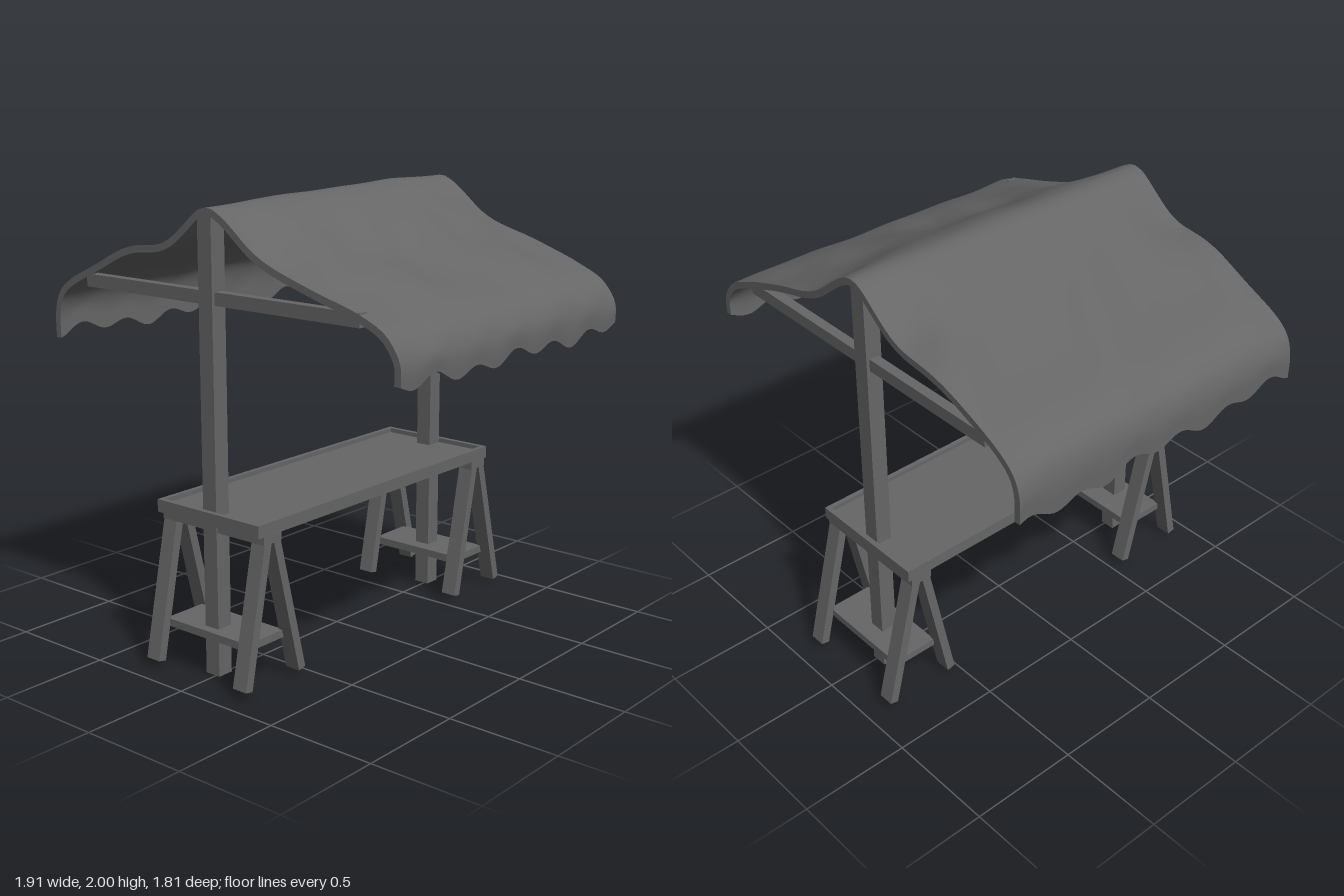
import * as THREE from 'three';
import { toCreasedNormals } from 'three/addons/utils/BufferGeometryUtils.js';

const grey = new THREE.MeshStandardMaterial({ color: 0x666666 });
grey.name = 'weathered grey';

// Box given by its min and max corners
function box(parent, name, x0, x1, y0, y1, z0, z1) {
  const mesh = new THREE.Mesh(new THREE.BoxGeometry(x1 - x0, y1 - y0, z1 - z0), grey);
  mesh.position.set((x0 + x1) / 2, (y0 + y1) / 2, (z0 + z1) / 2);
  mesh.name = name;
  parent.add(mesh);
  return mesh;
}

// Trestle: top beam, four splayed legs and a low shelf
function trestle(name, z, shelfY) {
  const g = new THREE.Group();
  g.name = name;
  box(g, 'trestleBeam', -0.3, 0.28, 0.635, 0.675, z - 0.052, z + 0.052);
  for (const x of [-0.262, 0.243]) {
    for (const s of [-1, 1]) {
      const top = new THREE.Vector2(z + s * 0.022, 0.66);
      const foot = new THREE.Vector2(z + s * 0.163 - 0.012, 0.035);
      const len = top.distanceTo(foot);
      const leg = new THREE.Mesh(new THREE.BoxGeometry(0.073, len, 0.04), grey);
      leg.position.set(x, (top.y + foot.y) / 2, (top.x + foot.x) / 2);
      leg.rotation.x = Math.atan2(top.x - foot.x, top.y - foot.y);
      leg.name = 'trestleLeg';
      g.add(leg);
    }
  }
  box(g, 'trestleShelf', -0.245, 0.225, shelfY, shelfY + 0.034, z - 0.12, z + 0.1);
  return g;
}

const smooth = (t) => t * t * (3 - 2 * t);
const bump = (v, centre, width) => Math.exp(-(((v - centre) / width) ** 2));

// Sagging cloth canopy: a closed cross-section swept along z
function canopyGeometry() {
  const outline = [
    [-0.957, 1.36], [-0.955, 1.47], [-0.925, 1.55], [-0.85, 1.615], [-0.6, 1.72],
    [-0.3, 1.855], [-0.13, 1.945], [-0.06, 1.98], [-0.015, 1.988], [0.035, 1.98], [0.12, 1.945],
    [0.25, 1.87], [0.4, 1.785], [0.58, 1.71], [0.75, 1.645], [0.88, 1.58],
    [0.935, 1.51], [0.953, 1.45], [0.953, 1.37],
  ].map(([x, y]) => new THREE.Vector3(x, y, 0));
  const curve = new THREE.CatmullRomCurve3(outline, false, 'centripetal');
  const nu = 80, nz = 72, thick = 0.03;
  const base = curve.getSpacedPoints(nu);
  const ring = 2 * (nu + 1);
  const pos = [], index = [];

  for (let j = 0; j <= nz; j++) {
    const t = j / nz;
    const zEnd = 0.785 - 1.54 * t;
    const nearEnd = smooth(Math.max(0, 1 - Math.min(t, 1 - t) / 0.22));
    const ridge = -0.012 + 0.022 * smooth(t);
    const section = base.map((p) => {
      const side = p.x < 0 ? -1 : 1, a = Math.abs(p.x);
      // sag beside the posts, folds on the slopes, scalloped hems
      const slope = bump(a, 0.5, 0.32);
      const sag = -0.055 * nearEnd * bump(a, 0.24, 0.16);
      const folds = slope * 0.011 * (Math.sin(zEnd * 9 + side * 1.3 + a * 5)
        + 0.7 * Math.sin(zEnd * 17 - a * 9 * side + 2));
      const hemAmount = smooth(Math.min(1, Math.max(0, (1.56 - p.y) / 0.2)));
      const hem = hemAmount * (0.022 * Math.sin(zEnd * 23 + side * 1.1)
        + 0.012 * Math.sin(zEnd * 9.5 + 2) + 0.012 * side * (0.5 + t));
      return new THREE.Vector2(p.x, p.y + ridge * (1 - hemAmount) + sag + folds + hem);
    });
    const inner = section.map((p, i) => {
      const d = section[Math.min(nu, i + 1)].clone().sub(section[Math.max(0, i - 1)]).normalize();
      return new THREE.Vector2(p.x + d.y * thick, p.y - d.x * thick);
    });
    for (const p of [...section, ...inner.reverse()]) {
      const wander = (t < 0.5 ? 1 : -0.6) * nearEnd * (0.008 * bump(p.x, 0, 0.4) - 0.006 * Math.abs(p.x));
      pos.push(p.x, p.y, zEnd + wander);
    }
  }
  for (let j = 0; j < nz; j++) {
    for (let i = 0; i < ring; i++) {
      const k = (i + 1) % ring;
      const a = j * ring + i, b = j * ring + k, c = a + ring, d = b + ring;
      index.push(a, b, c, b, d, c);
    }
  }
  // cloth thickness at the front and back ends
  const last = nz * ring;
  for (let i = 0; i < nu; i++) {
    const a = i, b = i + 1, c = ring - 1 - i, d = ring - 2 - i;
    index.push(a, c, b, b, c, d);
    index.push(last + a, last + b, last + c, last + b, last + d, last + c);
  }
  const geo = new THREE.BufferGeometry();
  geo.setAttribute('position', new THREE.Float32BufferAttribute(pos, 3));
  geo.setIndex(index);
  return toCreasedNormals(geo, Math.PI / 4);
}

export function createModel() {
  const model = new THREE.Group();
  model.name = 'marketStall';

  // Frame: two posts, their cross beams and the ridge beam
  const frame = new THREE.Group();
  frame.name = 'frame';
  model.add(frame);
  box(frame, 'frontPost', -0.055, 0.02, 0, 1.955, 0.72, 0.795);
  box(frame, 'backPost', -0.055, 0.02, 0, 1.965, -0.745, -0.67);
  box(frame, 'frontCrossBeam', -0.74, 0.76, 1.58, 1.635, 0.735, 0.78);
  box(frame, 'backCrossBeam', -0.74, 0.76, 1.585, 1.64, -0.73, -0.685);
  box(frame, 'ridgeBeam', -0.045, 0.01, 1.88, 1.935, -0.7, 0.75);

  // Counter: panel inside a raised rim
  const counter = new THREE.Group();
  counter.name = 'counter';
  model.add(counter);
  box(counter, 'counterPanel', -0.285, 0.265, 0.677, 0.705, -0.755, 0.8);
  for (const [x0, x1] of [[-0.3, -0.278], [0.256, 0.278]]) {
    box(counter, 'sideRim', x0, x1, 0.67, 0.725, -0.773, 0.82);
  }
  for (const [z0, z1] of [[-0.773, -0.75], [0.797, 0.82]]) {
    box(counter, 'endRim', -0.278, 0.256, 0.67, 0.725, z0, z1);
  }

  model.add(trestle('frontTrestle', 0.737, 0.178));
  model.add(trestle('backTrestle', -0.704, 0.17));

  // Cloth roof
  const canopy = new THREE.Mesh(canopyGeometry(), grey);
  canopy.name = 'canopy';
  model.add(canopy);
  return model;
}
